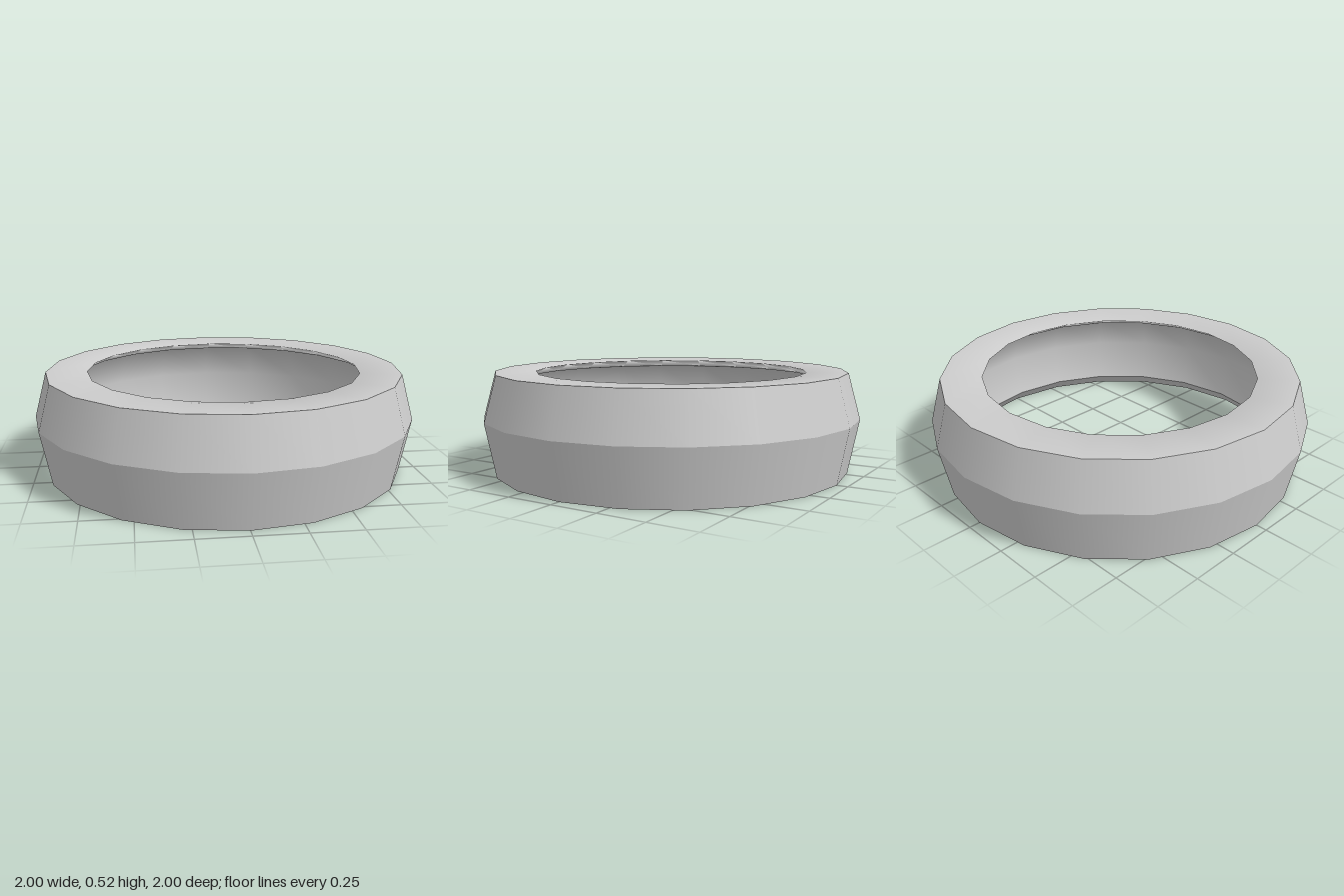
import * as THREE from 'three';

const SIDES = 20;

// Each strip is smooth inside and sharp where it meets the next one.
// Points are [radius, height], running counter-clockwise round the section.
const STRIPS = {
  lowerOuterBand: [[0.945, 0], [1, 0.283]],
  upperOuterBand: [[1, 0.283], [0.935, 0.52]],
  topAndLip: [[0.935, 0.52], [0.72, 0.517], [0.795, 0.475]],
  innerWall: [[0.795, 0.475], [0.885, 0.465], [0.945, 0.28], [0.895, 0.06]],
  bottomChamfer: [[0.895, 0.06], [0.945, 0]],
};

export function createModel() {
  const ring = new THREE.Group();
  ring.name = 'ring';
  const material = new THREE.MeshStandardMaterial({ color: 0xcccccc, side: THREE.DoubleSide });

  for (const [name, points] of Object.entries(STRIPS)) {
    const profile = points.map(([r, y]) => new THREE.Vector2(r, y));
    const mesh = new THREE.Mesh(new THREE.LatheGeometry(profile, SIDES), material);
    mesh.name = name;
    ring.add(mesh);
  }
  return ring;
}
